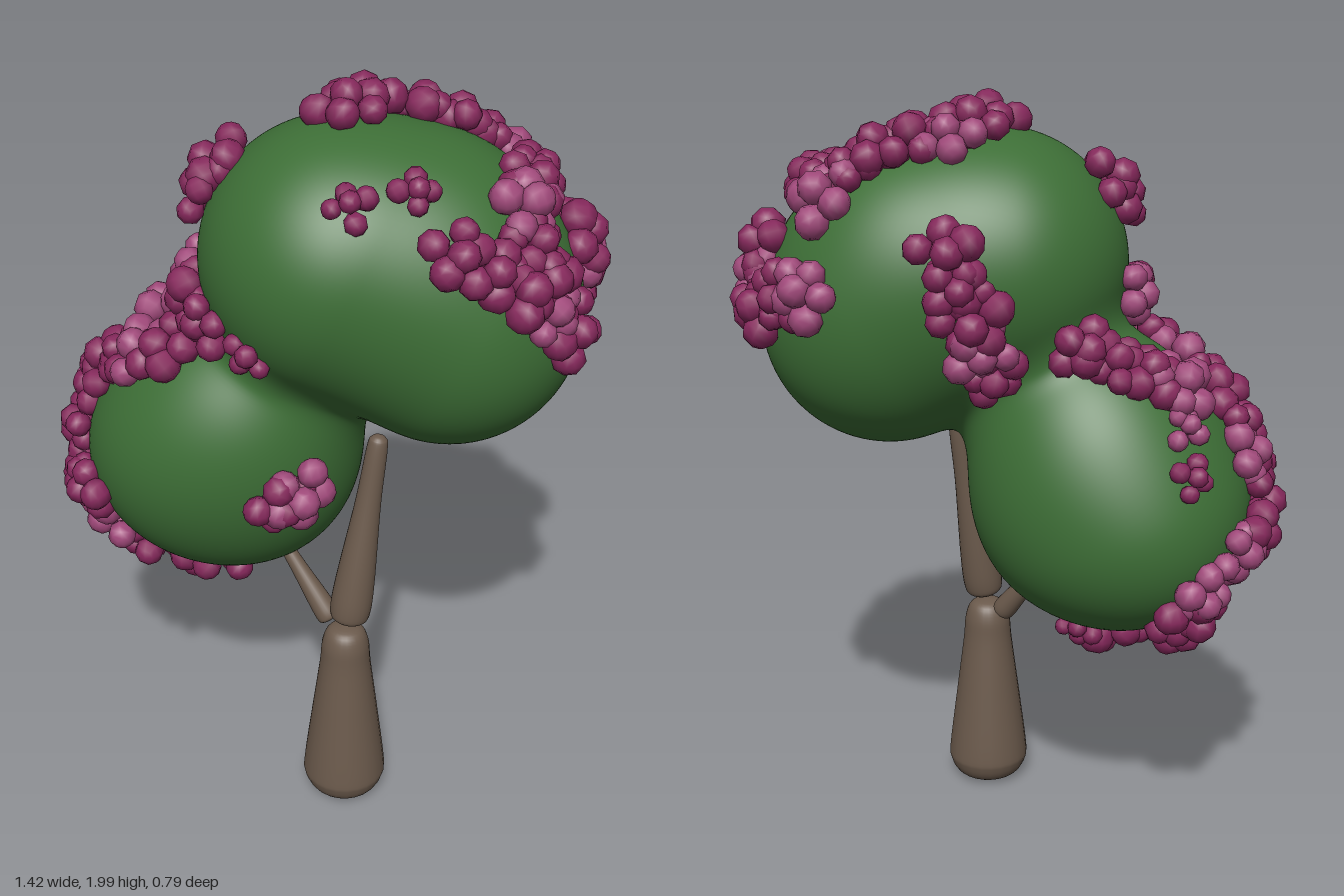
import * as THREE from 'three';
import { mergeGeometries, mergeVertices } from 'three/addons/utils/BufferGeometryUtils.js';

const V = (x, y, z) => new THREE.Vector3(x, y, z);

// Crown volume: overlapping balls [x, y, z, radius], softly blended
const LOBES = [
  [0.06, 1.56, 0.05, 0.345], [0.33, 1.42, 0.01, 0.33], [0.26, 1.56, 0, 0.3],      // upper lobe
  [-0.33, 0.92, -0.06, 0.275], [-0.33, 1.0, 0.05, 0.265],                        // lower lobe, outer
  [-0.2, 0.945, -0.01, 0.3], [-0.2, 1.11, 0.02, 0.295],                          // lower lobe, inner
];

function crownDistance(p) {
  let d = Infinity;
  for (const [x, y, z, r] of LOBES) {
    const e = Math.hypot(p.x - x, p.y - y, p.z - z) - r;
    if (d === Infinity) { d = e; continue; }
    const k = 0.12, h = Math.max(k - Math.abs(d - e), 0) / k;
    d = Math.min(d, e) - h * h * k / 4;
  }
  return d;
}

function crownNormal(p) {
  const e = 0.002, d = crownDistance(p);
  return V(crownDistance(V(p.x + e, p.y, p.z)) - d, crownDistance(V(p.x, p.y + e, p.z)) - d,
    crownDistance(V(p.x, p.y, p.z + e)) - d).normalize();
}

// Slide a point onto the crown, then lift it along the normal
function onCrown(p, lift) {
  const q = p.clone();
  for (let i = 0; i < 6; i++) q.addScaledVector(crownNormal(q), -crownDistance(q));
  return q.addScaledVector(crownNormal(q), lift);
}

// Ball whose vertices are pulled inwards until they meet the crown volume
function crownGeometry() {
  let g = new THREE.IcosahedronGeometry(1, 36);
  g.deleteAttribute('normal');
  g.deleteAttribute('uv');
  g = mergeVertices(g, 1e-5);
  const centre = V(0, 1.27, 0), pos = g.attributes.position, dir = V(0, 0, 0), p = V(0, 0, 0);
  for (let i = 0; i < pos.count; i++) {
    dir.fromBufferAttribute(pos, i).normalize();
    let t = 1.3;
    for (let s = 0; s < 80; s++) {
      const d = crownDistance(p.copy(centre).addScaledVector(dir, t));
      t -= d;
      if (Math.abs(d) < 1e-4) break;
    }
    p.copy(centre).addScaledVector(dir, t);
    pos.setXYZ(i, p.x, p.y, p.z);
  }
  g.computeVertexNormals();
  return g;
}

// Rounded, tapering limb standing between two points
function limb(name, from, to, profile, material) {
  const axis = to.clone().sub(from), length = axis.length();
  const curve = new THREE.SplineCurve(profile.map(([r, t]) => new THREE.Vector2(r, t * length)));
  const pts = curve.getPoints(45).map((v) => new THREE.Vector2(Math.max(v.x, 0), v.y));
  const mesh = new THREE.Mesh(new THREE.LatheGeometry(pts, 24), material);
  mesh.position.copy(from);
  mesh.quaternion.setFromUnitVectors(V(0, 1, 0), axis.normalize());
  mesh.name = name;
  return mesh;
}

// Trails of blossom clusters across each lobe, and lone small buds
const UPPER_TRAILS = [
  [V(0.07, 1.92, 0.03), V(0.13, 1.92, -0.12), V(0.3, 1.87, -0.13), V(0.44, 1.77, -0.22)], // crest
  [V(0.38, 1.69, 0.3), V(0.5, 1.63, 0.27), V(0.63, 1.48, 0.18)],       // front
  [V(0.57, 1.61, 0.21), V(0.53, 1.77, 0.14), V(0.53, 1.79, -0.05)],    // shoulder
  [V(0.67, 1.63, -0.1), V(0.64, 1.48, -0.19), V(0.46, 1.54, -0.31)],   // side
  [V(0.1, 1.64, -0.31), V(0, 1.32, -0.3)],                             // back
  [V(-0.27, 1.79, 0.06), V(-0.26, 1.73, 0.1)],                         // left
];
const LOWER_TRAILS = [
  [V(-0.3, 1.49, 0.06), V(-0.22, 1.45, 0.23)],                         // notch
  [V(-0.36, 1.34, 0.2), V(-0.47, 1.27, 0.12), V(-0.6, 1.1, -0.02)],    // ridge
  [V(-0.22, 1.4, -0.2), V(-0.42, 1.28, -0.1)],                         // rear ridge
  [V(-0.61, 1.04, 0.08), V(-0.64, 0.92, -0.05), V(-0.61, 0.89, -0.17)], // outer side
  [V(-0.64, 0.87, 0.06), V(-0.6, 0.9, 0.2)],                           // outer front
  [V(-0.58, 0.75, 0.1), V(-0.49, 0.68, 0.07)],                         // lower edge
  [V(-0.34, 0.62, 0.02), V(-0.25, 0.62, -0.03)],                       // underside
  [V(-0.52, 0.79, -0.25), V(-0.47, 0.67, -0.18)],                      // lower back
  [V(-0.03, 0.98, 0.3), V(0.02, 1.0, 0.3)],                            // lower front
];
const BUDS = [V(0.13, 1.79, 0.3), V(0.27, 1.81, 0.24), V(-0.1, 1.41, 0.3),
  V(-0.48, 1.23, -0.2), V(-0.5, 1.11, -0.26), V(-0.2, 0.64, -0.1)];

// Each cluster is a raised ball ringed by more balls; every fourth one is pale
function blossomGeometries() {
  const sets = [[], []];
  let c = 0;
  const cluster = (point, size, petals) => {
    const set = sets[c % 4 === 2 ? 1 : 0];
    const seed = onCrown(point, 0), n = crownNormal(seed);
    const side = V(n.y, n.z, n.x).cross(n).normalize(), up = n.clone().cross(side);
    const ball = (p, r) => set.push(
      new THREE.SphereGeometry(r, 8, 6).rotateX(c + p.x * 40).rotateZ(p.y * 40).translate(p.x, p.y, p.z));
    ball(seed.clone().addScaledVector(n, 0.05 * size), 0.042 * size);
    for (let i = 0; i < petals; i++) {
      const a = (i / petals) * Math.PI * 2 + c * 1.7;
      const reach = size * (0.056 + 0.012 * Math.sin(c * 3 + i * 2));
      const p = seed.clone().addScaledVector(side, Math.cos(a) * reach).addScaledVector(up, Math.sin(a) * reach);
      const lift = 0.025 + 0.012 * Math.sin(c * 2 + i * 3);
      ball(onCrown(p, lift * size), size * (0.041 + 0.004 * Math.sin(c + i * 5)));
    }
    c++;
  };
  for (const trail of [...UPPER_TRAILS, ...LOWER_TRAILS]) {
    const curve = new THREE.CatmullRomCurve3(trail);
    const steps = Math.max(1, Math.round(curve.getLength() / 0.09));
    for (const p of curve.getSpacedPoints(steps)) cluster(p, 0.98 + 0.08 * Math.sin(c * 2.3), 5);
  }
  for (const p of BUDS) cluster(p, 0.65, 4);
  return sets.map((s) => mergeGeometries(s));
}

export function createModel() {
  const model = new THREE.Group();
  model.name = 'tree';
  const bark = new THREE.MeshStandardMaterial({ color: 0x6b5a4c });
  const leaf = new THREE.MeshStandardMaterial({ color: 0x3d6e36 });

  // Trunk and the two branches
  model.add(limb('trunk', V(0.113, 0.005, 0.2), V(0.113, 0.562, 0.2), [
    [0, 0], [0.055, 0.007], [0.09, 0.035], [0.11, 0.1], [0.111, 0.18], [0.089, 0.5],
    [0.069, 0.78], [0.062, 0.91], [0.043, 0.98], [0, 1]], bark));
  const branch = (r0, r1) => [[0, 0], [r0 * 0.75, 0.015], [r0, 0.07], [r0 * 0.95, 0.25],
    [r1 * 1.25, 0.65], [r1, 0.93], [r1 * 0.7, 0.985], [0, 1]];
  model.add(limb('tallBranch', V(0.12, 0.575, 0.2), V(0.182, 1.12, 0.135), branch(0.054, 0.027), bark));
  model.add(limb('shortBranch', V(0.065, 0.54, 0.155), V(-0.08, 0.735, 0.095), branch(0.032, 0.018), bark));

  // Crown
  const crown = new THREE.Mesh(crownGeometry(), leaf);
  crown.name = 'crown';
  model.add(crown);

  // Blossoms in two shades
  const shades = [['darkBlossoms', 0x86285c], ['paleBlossoms', 0xa0487a]];
  blossomGeometries().forEach((g, i) => {
    const mesh = new THREE.Mesh(g, new THREE.MeshStandardMaterial({ color: shades[i][1] }));
    mesh.name = shades[i][0];
    model.add(mesh);
  });
  return model;
}
